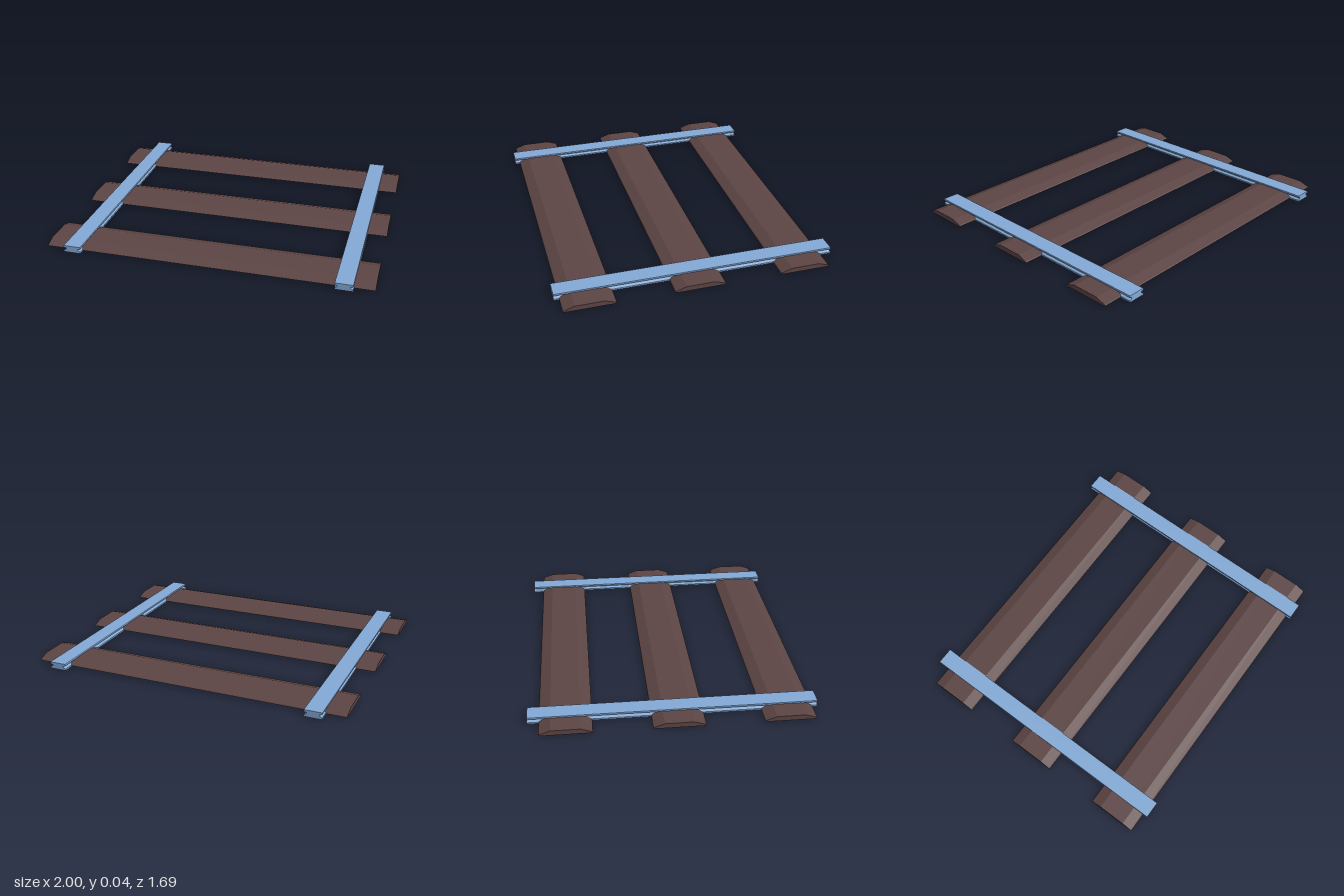
import * as THREE from 'three';

const wood = new THREE.MeshStandardMaterial({ color: 0x5c4444, flatShading: true });
const steel = new THREE.MeshStandardMaterial({ color: 0x83a9d6, flatShading: true });

// Straight bar: a closed cross-section extruded along z and centred
function bar(points, length) {
  const shape = new THREE.Shape(points.map(([x, y]) => new THREE.Vector2(x, y)));
  return new THREE.ExtrudeGeometry(shape, { depth: length, bevelEnabled: false })
    .translate(0, 0, -length / 2);
}

// Right half of a cross-section, listed from bottom to top, mirrored to a full outline
const mirrored = (half) => [...half, ...half.map(([x, y]) => [-x, y]).reverse()];

export function createModel() {
  const group = new THREE.Group();
  group.name = 'trackSection';

  // Sleepers: low planks with sloped long edges
  const sleeperGeometry = bar(mirrored([
    [0.14, 0.002], [0.153, 0.006], [0.147, 0.012], [0.085, 0.033],
  ]), 2).rotateY(Math.PI / 2);
  [-0.628, 0.018, 0.663].forEach((z, i) => {
    const sleeper = new THREE.Mesh(sleeperGeometry, wood);
    sleeper.name = `sleeper${i + 1}`;
    sleeper.position.z = z;
    group.add(sleeper);
  });

  // Rails: flat head and foot with a narrower waist
  const railGeometry = bar(mirrored([
    [0.053, 0], [0.053, 0.01], [0.037, 0.02], [0.037, 0.025], [0.053, 0.031], [0.053, 0.042],
  ]), 1.694);
  for (const side of [-1, 1]) {
    const rail = new THREE.Mesh(railGeometry, steel);
    rail.name = side > 0 ? 'leftRail' : 'rightRail';
    rail.position.x = side * 0.825;
    group.add(rail);
  }
  return group;
}
